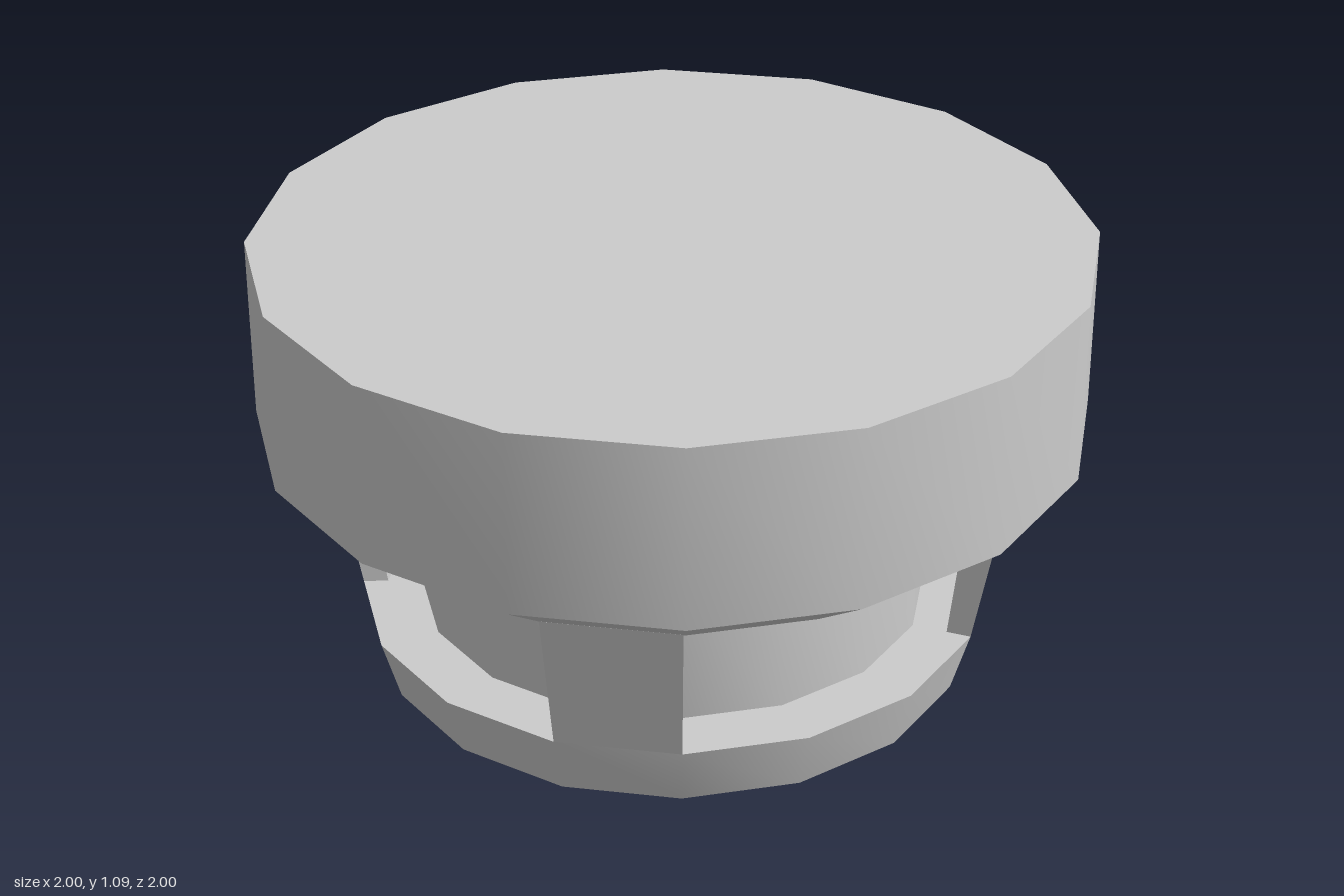
import * as THREE from 'three';
import { toCreasedNormals } from 'three/addons/utils/BufferGeometryUtils.js';
import { ConvexGeometry } from 'three/addons/geometries/ConvexGeometry.js';

const SIDES = 16;
const STEP = (Math.PI * 2) / SIDES;

export function createModel() {
  const group = new THREE.Group();
  const grey = new THREE.MeshStandardMaterial({ color: 0xcccccc });
  grey.name = 'light grey';

  const add = (name, geometry) => {
    const mesh = new THREE.Mesh(geometry, grey);
    mesh.name = name;
    group.add(mesh);
  };

  // Base dish, recessed core, bevelled underside and wide cap in one turned body
  const profile = [
    [0, 0], [0.72, 0], [0.765, 0.155], [0.62, 0.155], [0.62, 0.495],
    [0.795, 0.495], [1, 0.64], [1, 1.088], [0, 1.088],
  ].map(([r, y]) => new THREE.Vector2(r, y));
  add('body', toCreasedNormals(new THREE.LatheGeometry(profile, SIDES), 0.5));

  // Four leaning struts, each one facet wide, joining the base to the cap
  const section = [[0.705, 0.155], [0.765, 0.155], [0.832, 0.521], [0.757, 0.5]];
  for (let i = 0; i < 4; i++) {
    const start = (i * Math.PI) / 2;
    const corners = [start, start + STEP].flatMap((a) =>
      section.map(([r, y]) => new THREE.Vector3(r * Math.sin(a), y, r * Math.cos(a))));
    add('strut' + (i + 1), new ConvexGeometry(corners));
  }
  return group;
}
